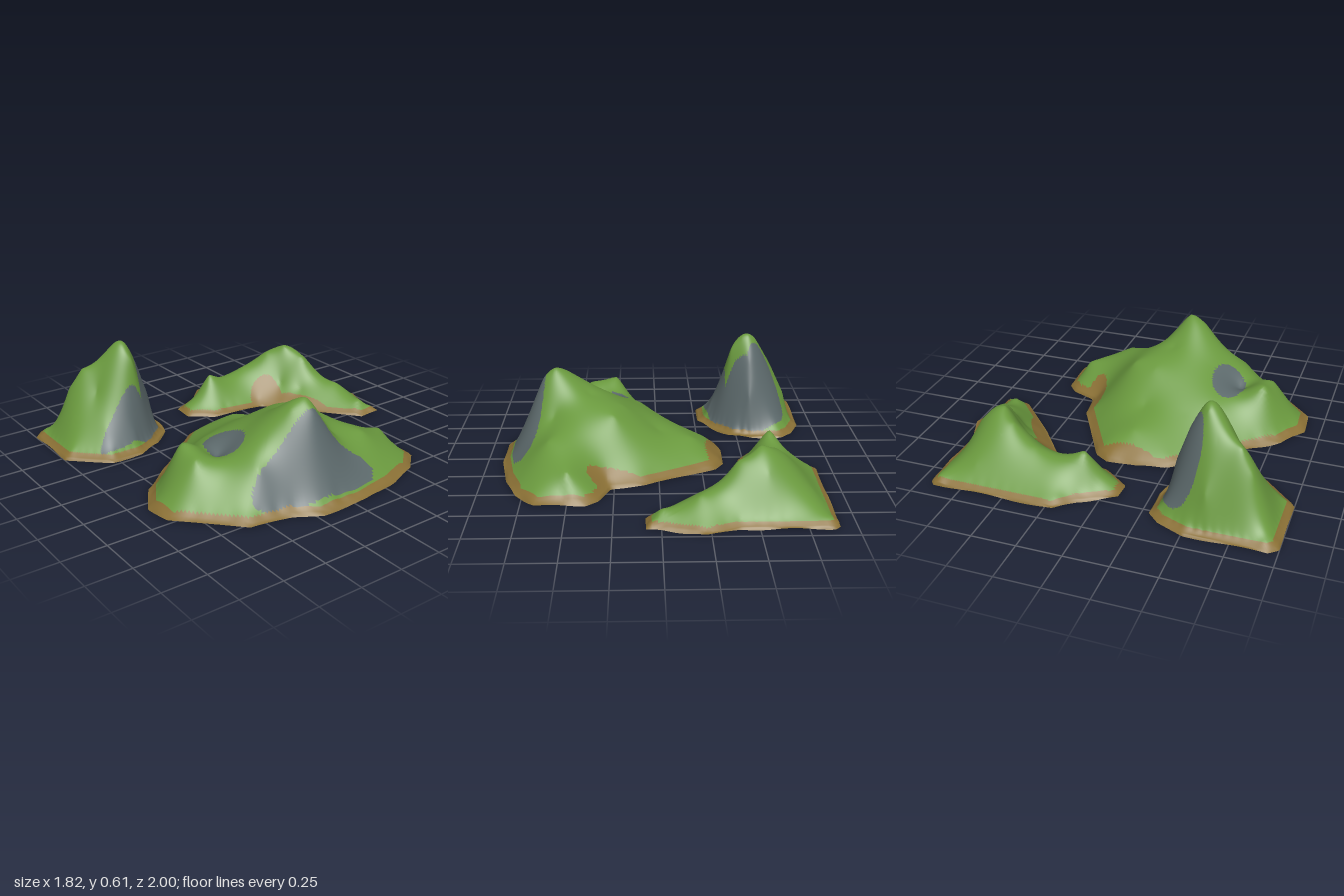
import * as THREE from 'three';

const material = (name, color) => {
  const m = new THREE.MeshStandardMaterial({ color, side: THREE.DoubleSide });
  m.name = name;
  return m;
};

// Each island: shoreline (x, z), spot heights (x, z, y), and oval patches of rock and sand (x, z, radii, turn)
const mainIsland = {
  name: 'mainIsland', center: [0.38, 0.1], beach: 0.045,
  shore: [[-.38, -.1], [-.33, -.18], [.08, -.41], [.27, -.44], [.33, -.59], [.4, -.65], [.67, -.65], [.79, -.52],
    [.86, -.33], [.91, -.07], [.91, .22], [.83, .36], [.79, .6], [.48, .9], [.31, .91], [.13, .8], [0, .64],
    [-.34, .24], [-.38, .08]],
  spots: [[.6, .1, .53], [.6, .2, .48], [.67, .1, .47], [.82, .1, .13], [.4, .05, .39], [.2, 0, .33], [0, 0, .18],
    [-.2, 0, .13], [0, .25, .18], [.25, -.15, .32], [.3, -.28, .19], [.6, -.08, .29], [.62, -.3, .23],
    [.76, -.2, .12], [.5, -.55, .14], [.35, .3, .33], [.35, .5, .2], [.25, .66, .29], [.42, .68, .25],
    [.1, .42, .2], [.65, .45, .23], [.55, .62, .16]],
  rock: [[.75, .15, .1, .38, .1], [.315, .43, .14, .1, 0]],
  sand: [[.22, -.43, .18, .08, 0], [-.34, -.02, .06, .2, 0]],
};

const ridgeIsland = {
  name: 'ridgeIsland', center: [-0.68, -0.6], beach: 0.035,
  shore: [[-.91, -.91], [-.88, -.94], [-.4, -.94], [-.23, -1], [0, -.94], [.08, -.94], [.08, -.8], [-.2, -.55],
    [-.42, -.38], [-.47, -.05], [-.58, .09], [-.7, .09], [-.81, -.1], [-.91, -.2]],
  spots: [[-.52, -.64, .34], [-.6, -.55, .29], [-.66, -.4, .2], [-.64, -.12, .22], [-.64, -.25, .17],
    [-.4, -.7, .28], [-.2, -.82, .14], [0, -.85, .08], [-.55, -.78, .24], [-.8, -.7, .11], [-.45, -.55, .13],
    [-.33, -.62, .11]],
  rock: [],
  sand: [[-.44, -.43, .1, .1, 0], [-.27, -.53, .23, .07, -.6]],
};

const peakIsland = {
  name: 'peakIsland', center: [-0.58, 0.6], beach: 0.04,
  shore: [[-.91, .51], [-.85, .36], [-.78, .29], [-.59, .29], [-.46, .33], [-.35, .45], [-.27, .6], [-.27, .8],
    [-.47, 1], [-.86, 1], [-.91, .95]],
  spots: [[-.58, .53, .6], [-.62, .55, .58], [-.54, .53, .59], [-.47, .53, .5], [-.41, .58, .28], [-.35, .6, .11],
    [-.58, .45, .45], [-.58, .38, .24], [-.69, .62, .46], [-.69, .75, .44], [-.73, .82, .32], [-.82, .6, .2],
    [-.55, .73, .34], [-.6, .88, .17], [-.4, .76, .15]],
  rock: [[-.68, .44, .13, .1, -.4], [-.53, .41, .17, .07, .35], [-.38, .63, .05, .2, -.15]],
  sand: [],
};

// Points spaced evenly along a closed outline
function resample(points, count) {
  const path = new THREE.CurvePath();
  const v = points.map(([x, z]) => new THREE.Vector2(x, z));
  v.forEach((p, i) => path.add(new THREE.LineCurve(p, v[(i + 1) % v.length])));
  return Array.from({ length: count }, (_, i) => path.getPointAt(i / count)).map(p => [p.x, p.y]);
}

function insideOval([cx, cz, rx, rz, turn], x, z) {
  const c = Math.cos(turn), s = Math.sin(turn), dx = x - cx, dz = z - cz;
  return Math.hypot((dx * c + dz * s) / rx, (dz * c - dx * s) / rz) < 1;
}

function shoreDistance(poly, x, z) {
  return Math.min(...poly.map(([ax, az], i) => {
    const [bx, bz] = poly[(i + 1) % poly.length];
    const dx = bx - ax, dz = bz - az;
    const t = THREE.MathUtils.clamp(((x - ax) * dx + (z - az) * dz) / (dx * dx + dz * dz), 0, 1);
    return Math.hypot(x - ax - t * dx, z - az - t * dz);
  }));
}

// Smooth height function through all spot heights (radial basis fit)
function fitHeights(spots) {
  const n = spots.length;
  const kernel = (a, x, z) => Math.pow(Math.hypot(a[0] - x, a[1] - z), 1.3);
  const m = spots.map(p => [...spots.map(q => kernel(q, p[0], p[1])), 1, p[2]]);
  m.push([...Array(n).fill(1), 0, 0]);
  for (let c = 0; c <= n; c++) {
    let best = c;
    for (let r = c; r <= n; r++) if (Math.abs(m[r][c]) > Math.abs(m[best][c])) best = r;
    [m[c], m[best]] = [m[best], m[c]];
    for (let r = 0; r <= n; r++) {
      if (r === c) continue;
      const f = m[r][c] / m[c][c];
      for (let k = c; k <= n + 1; k++) m[r][k] -= f * m[c][k];
    }
  }
  const w = m.map((row, i) => row[n + 1] / row[i]);
  return (x, z) => spots.reduce((sum, p, i) => sum + w[i] * kernel(p, x, z), w[n]);
}

function buildIsland({ name, center, shore, spots, rock, sand, beach }, materials) {
  const SEG = 200, RINGS = 50, PINS = 48;
  // Pin the shoreline low, with a gentle beach just inside it
  const edge = resample(shore, PINS);
  const rim = edge.flatMap(([x, z], i) => {
    const a = edge[(i + PINS - 1) % PINS], b = edge[(i + 1) % PINS];
    const dx = b[0] - a[0], dz = b[1] - a[1], len = Math.hypot(dx, dz);
    return [[x, z, 0.008], [x - dz / len * 0.045, z + dx / len * 0.045, 0.042]];
  });
  const height = fitHeights([...spots, ...rim]);

  // Rings of vertices from the centre out to the shore
  const outline = resample(shore, SEG);
  const positions = [];
  for (let r = 0; r <= RINGS; r++) {
    for (const [ex, ez] of outline) {
      const t = r / RINGS;
      const x = center[0] + (ex - center[0]) * t, z = center[1] + (ez - center[1]) * t;
      const y = r === RINGS ? 0.006 + 0.006 * Math.sin(ex * 17 + ez * 13) : Math.max(0.012, height(x, z));
      positions.push(x, y, z);
    }
  }

  // Sort faces into grass, sand and rock by where they lie
  const faces = [[], [], []];
  const addFace = (...ids) => {
    const x = ids.reduce((s, i) => s + positions[i * 3], 0) / 3;
    const z = ids.reduce((s, i) => s + positions[i * 3 + 2], 0) / 3;
    let kind = 0;
    if (shoreDistance(shore, x, z) < beach || sand.some(o => insideOval(o, x, z))) kind = 1;
    else if (rock.some(o => insideOval(o, x, z))) kind = 2;
    faces[kind].push(...ids);
  };
  for (let r = 0; r < RINGS; r++) {
    for (let i = 0; i < SEG; i++) {
      const j = (i + 1) % SEG;
      const a = r * SEG + i, b = r * SEG + j, c = a + SEG, d = b + SEG;
      if (r > 0) addFace(a, b, c);
      addFace(b, d, c);
    }
  }

  const geometry = new THREE.BufferGeometry();
  geometry.setAttribute('position', new THREE.Float32BufferAttribute(positions, 3));
  geometry.setIndex(faces.flat());
  let start = 0;
  faces.forEach((f, k) => {
    if (f.length) geometry.addGroup(start, f.length, k);
    start += f.length;
  });
  geometry.computeVertexNormals();
  const mesh = new THREE.Mesh(geometry, materials);
  mesh.name = name;
  return mesh;
}

export function createModel() {
  const group = new THREE.Group();
  group.name = 'islands';
  const materials = [material('grass', 0x6a993e), material('sand', 0x8a7035), material('rock', 0x5c696b)];
  for (const island of [mainIsland, ridgeIsland, peakIsland]) group.add(buildIsland(island, materials));
  return group;
}
